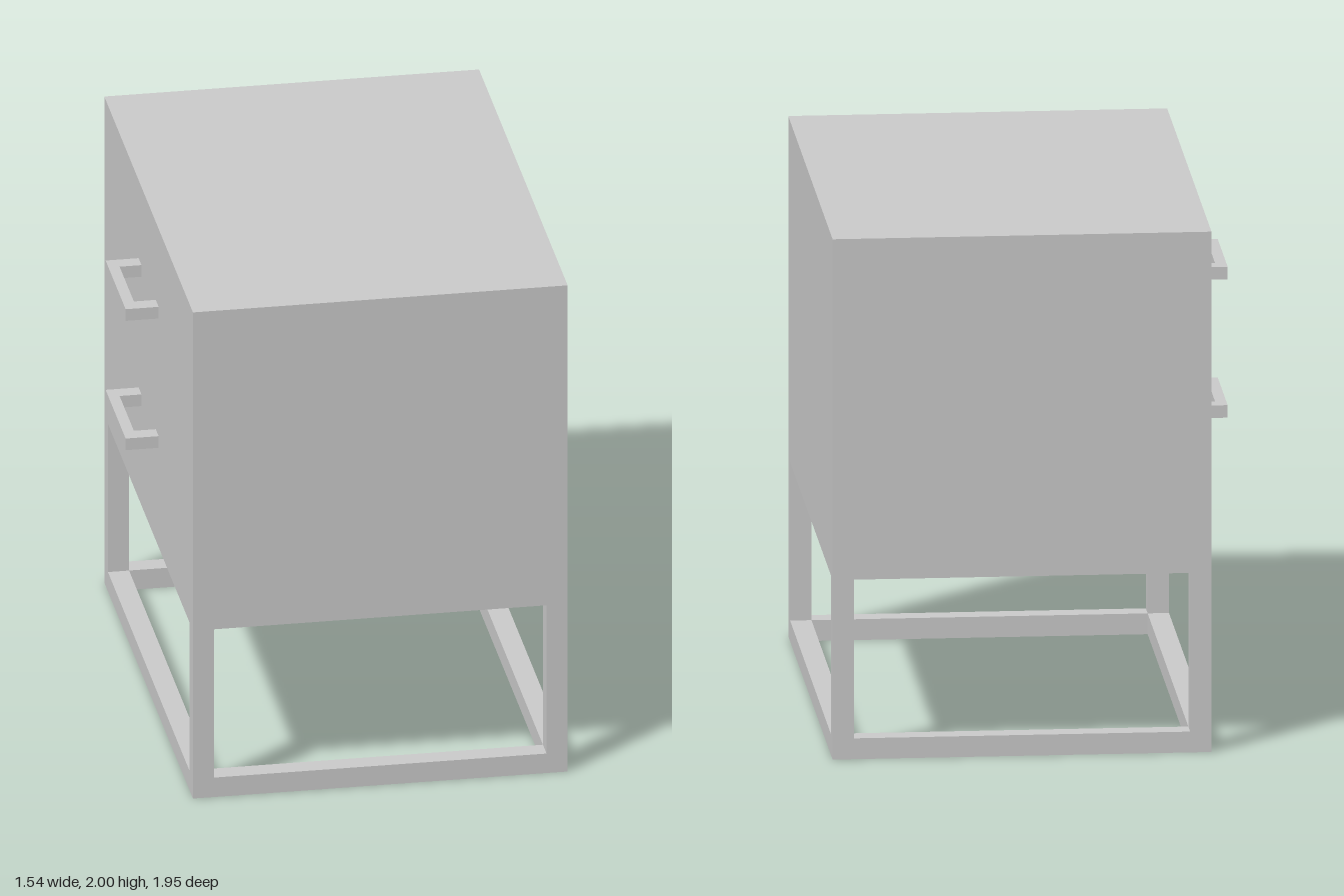
import * as THREE from 'three';

const X0 = -0.65, X1 = 0.77, Z = 0.975; // cabinet footprint
const BASE = 0.77, TOP = 2, BAR = 0.08;

export function createModel() {
  const model = new THREE.Group();
  model.name = 'nightstand';
  const material = new THREE.MeshStandardMaterial({ color: 0xcccccc });

  // Box given by its minimum and maximum corners
  const addBox = (parent, name, [ax, ay, az], [bx, by, bz]) => {
    const mesh = new THREE.Mesh(new THREE.BoxGeometry(bx - ax, by - ay, bz - az), material);
    mesh.position.set((ax + bx) / 2, (ay + by) / 2, (az + bz) / 2);
    mesh.name = name;
    parent.add(mesh);
  };

  // Cabinet body
  addBox(model, 'cabinet', [X0, BASE, -Z], [X1, TOP, Z]);

  // Open base frame: four legs joined by a lower and an upper ring of rails
  const frame = new THREE.Group();
  frame.name = 'baseFrame';
  model.add(frame);
  for (const x of [X0, X1 - BAR]) {
    for (const z of [-Z, Z - BAR]) {
      addBox(frame, 'leg', [x, 0, z], [x + BAR, BASE, z + BAR]);
    }
  }
  for (const y of [0, BASE - BAR]) {
    for (const x of [X0, X1 - BAR]) {
      addBox(frame, 'longRail', [x, y, -Z + BAR], [x + BAR, y + BAR, Z - BAR]);
    }
    for (const z of [-Z, Z - BAR]) {
      addBox(frame, 'shortRail', [X0 + BAR, y, z], [X1 - BAR, y + BAR, z + BAR]);
    }
  }

  // U-shaped drawer handles, outlined in plan and extruded upwards
  const outline = new THREE.Shape([
    [X0, -0.22], [X0, -0.157], [-0.733, -0.157], [-0.733, 0.157],
    [X0, 0.157], [X0, 0.22], [-0.775, 0.22], [-0.775, -0.22],
  ].map(([x, z]) => new THREE.Vector2(x, z)));
  const handleGeometry = new THREE.ExtrudeGeometry(outline, { depth: 0.048, bevelEnabled: false });
  handleGeometry.rotateX(-Math.PI / 2);
  [['lowerHandle', 1.099], ['upperHandle', 1.631]].forEach(([name, y]) => {
    const handle = new THREE.Mesh(handleGeometry, material);
    handle.name = name;
    handle.position.y = y;
    model.add(handle);
  });

  return model;
}
